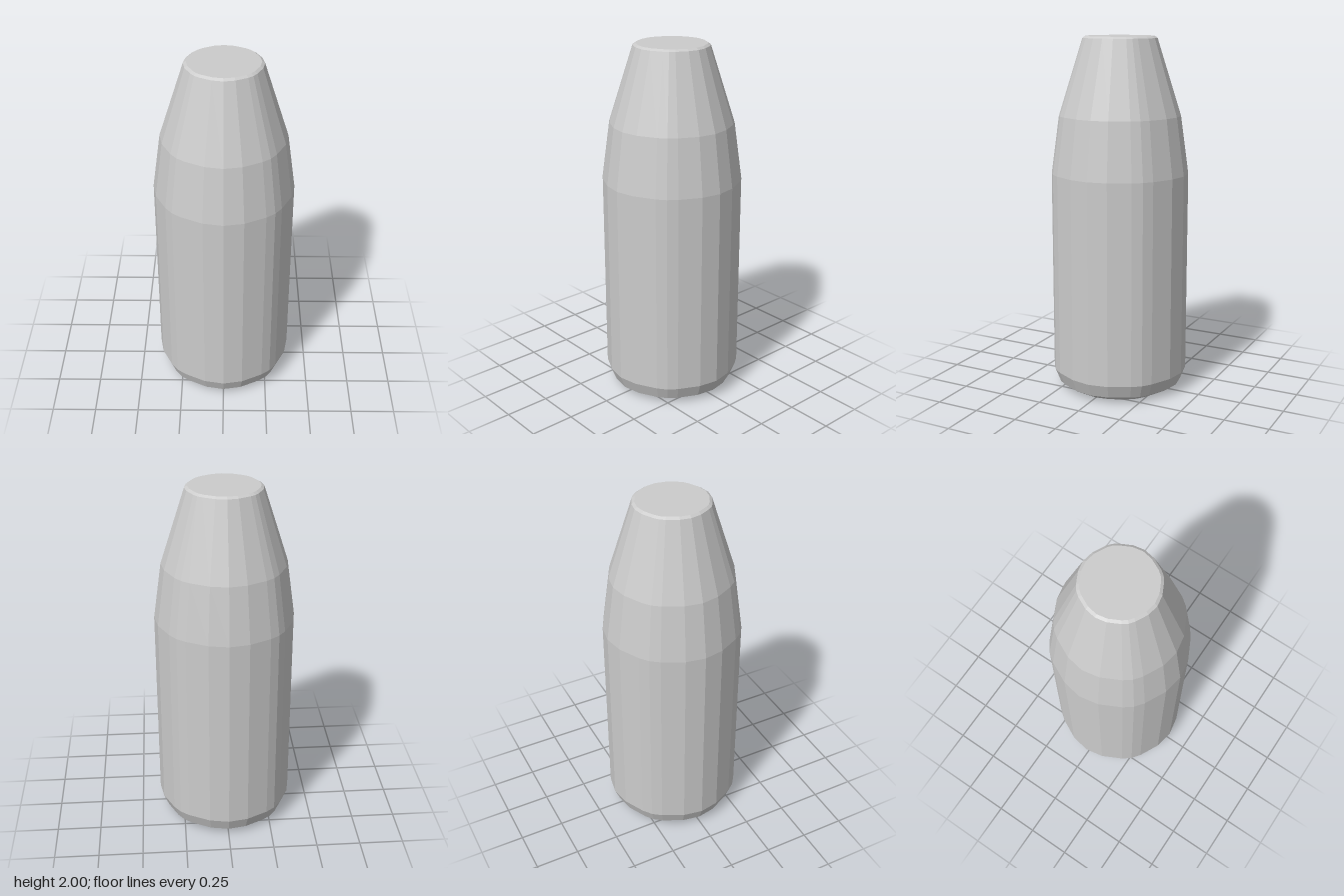
import * as THREE from 'three';

// Profile of the bottle, from base centre to top centre: [radius, height]
const PROFILE = [
  [0, 0], [0.3, 0], [0.36, 0.035], [0.39, 0.11],
  [0.39, 1.25], [0.345, 1.57], [0.21, 1.99], [0.195, 2], [0, 2],
];

// Uneven facet corners within a quarter turn: [angle in degrees, radius factor]
const FACETS = [[0, 1], [16.5, 0.99], [36, 0.988], [45, 0.997], [54, 0.988], [73.5, 0.99]];

export function createModel() {
  const group = new THREE.Group();
  group.name = 'bottle';

  const points = PROFILE.map(([r, y]) => new THREE.Vector2(r, y));
  const geometry = new THREE.LatheGeometry(points, FACETS.length * 4);

  // Turn each column of the lathe to its uneven facet corner
  const position = geometry.attributes.position;
  for (let i = 0; i < position.count; i++) {
    const column = Math.floor(i / PROFILE.length);
    const [radius, y] = PROFILE[i % PROFILE.length];
    const [degrees, factor] = FACETS[column % FACETS.length];
    const quarter = Math.floor(column / FACETS.length) % 4;
    const angle = THREE.MathUtils.degToRad(degrees + quarter * 90);
    position.setXYZ(i, radius * factor * Math.sin(angle), y, radius * factor * Math.cos(angle));
  }
  geometry.computeVertexNormals();

  const body = new THREE.Mesh(
    geometry,
    new THREE.MeshStandardMaterial({ color: 0xcccccc, flatShading: true }),
  );
  body.name = 'bottleBody';
  group.add(body);
  return group;
}
